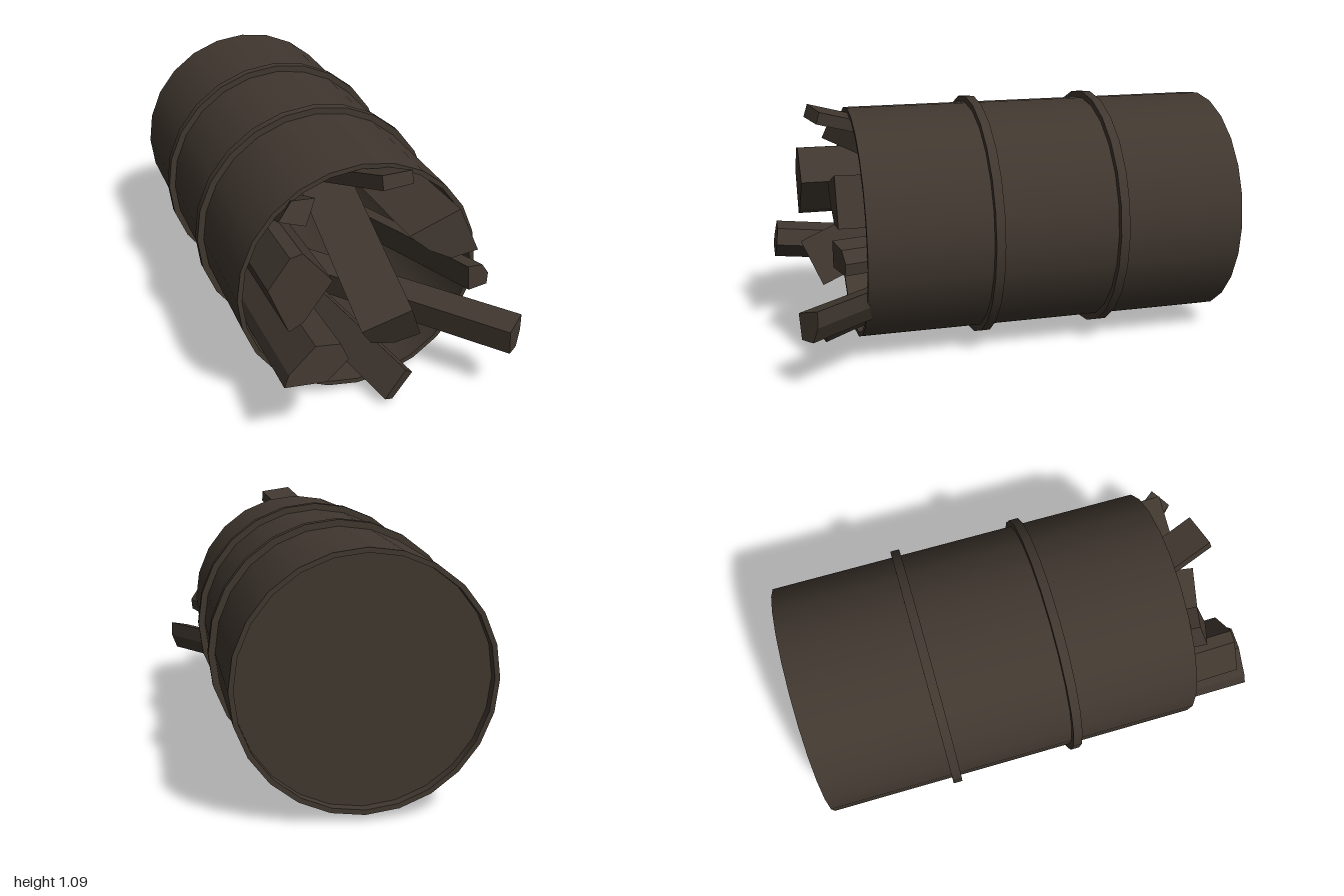
import * as THREE from 'three';
import { mergeGeometries } from 'three/addons/utils/BufferGeometryUtils.js';

const SIDES = 24;

// Revolved surface with a hard edge at every profile point
function hardLathe(profile) {
  const bands = [];
  for (let i = 0; i < profile.length - 1; i++) {
    const pair = [profile[i], profile[i + 1]].map(([r, z]) => new THREE.Vector2(r, z));
    bands.push(new THREE.LatheGeometry(pair, SIDES));
  }
  return mergeGeometries(bands).rotateX(Math.PI / 2);
}

// Log: an end outline cut square to its length, swept back along an offset
function logGeometry(outline, z, offset) {
  const pts = outline.map(([x, y]) => new THREE.Vector2(x, y));
  if (THREE.ShapeUtils.isClockWise(pts)) pts.reverse();
  const d = new THREE.Vector3(...offset);
  const centre = pts.reduce((c, p) => c.add(p), new THREE.Vector2()).divideScalar(pts.length);
  const front = pts.map(p => new THREE.Vector3(
    p.x, p.y, z - (d.x * (p.x - centre.x) + d.y * (p.y - centre.y)) / d.z));
  const back = front.map(p => p.clone().add(d));
  const n = pts.length;
  const tris = [];
  for (let i = 0; i < n; i++) {
    const j = (i + 1) % n;
    tris.push(front[i], back[i], back[j], front[i], back[j], front[j]);
  }
  for (const [a, b, c] of THREE.ShapeUtils.triangulateShape(pts, [])) {
    tris.push(front[a], front[b], front[c], back[a], back[c], back[b]);
  }
  const geometry = new THREE.BufferGeometry().setFromPoints(tris);
  geometry.computeVertexNormals();
  return geometry;
}

export function createModel() {
  const model = new THREE.Group();
  model.name = 'barrelOfLogs';
  const brown = new THREE.MeshStandardMaterial({ color: 0x40372f });
  brown.name = 'dark brown';

  const add = (name, geometry, parent = model) => {
    const mesh = new THREE.Mesh(geometry, brown);
    mesh.name = name;
    parent.add(mesh);
    return mesh;
  };

  // Barrel lying on its side, open at the front
  const barrel = new THREE.Group();
  barrel.name = 'barrel';
  barrel.position.set(-0.05, 0.543, 0);
  model.add(barrel);
  add('barrelShell', hardLathe([
    [0, -0.96], [0.495, -0.96], [0.495, -1], [0.515, -1],
    [0.515, 0.66], [0.495, 0.66], [0.495, -0.94], [0, -0.94],
  ]), barrel);

  // Raised hoops
  for (const z of [-0.44, 0.11]) {
    add('hoop', hardLathe([
      [0.512, z - 0.02], [0.543, z - 0.02], [0.543, z + 0.02], [0.512, z + 0.02],
    ]), barrel);
  }

  // Logs and planks sticking out of the open end: name, end outline, end z, offset to the far end
  const logs = [
    ['topPlank', [[-0.04, 1.085], [0.1, 1.07], [0.1, 1.02], [-0.04, 1.03]], 0.82, [-0.33, -0.34, -1.1]],
    ['upperRightPlank', [[-0.41, 0.9], [-0.35, 0.97], [-0.26, 0.975], [-0.31, 0.88]], 0.72, [0.2, -0.48, -1]],
    ['rightLog', [[-0.41, 0.82], [-0.36, 0.83], [-0.24, 0.69], [-0.36, 0.53], [-0.42, 0.5], [-0.46, 0.6], [-0.5, 0.7]],
      0.86, [-0.02, -0.01, -0.9]],
    ['lowerRightLog', [[-0.48, 0.34], [-0.46, 0.39], [-0.35, 0.49], [-0.25, 0.48], [-0.22, 0.41], [-0.31, 0.33]],
      0.98, [0.02, -0.11, -1]],
    ['middleLog', [[-0.12, 0.43], [0.08, 0.51], [0.16, 0.33], [0.05, 0.305], [-0.06, 0.34]], 0.84, [-0.02, 0.44, -1]],
    ['upperLeftLog', [[0.11, 0.77], [0.33, 0.85], [0.42, 0.65], [0.3, 0.635], [0.2, 0.69]], 0.77, [-0.02, -0.02, -1]],
    ['leftLog', [[0.37, 0.59], [0.45, 0.57], [0.485, 0.52], [0.48, 0.47], [0.38, 0.48]], 0.77, [-0.35, -0.04, -1]],
    ['lowerLeftLog', [[0.5, 0.34], [0.585, 0.37], [0.585, 0.3], [0.56, 0.23], [0.51, 0.23]], 0.91, [-0.9, -0.01, -1.15]],
    ['bottomPlank', [[0.1, 0.165], [0.14, 0.13], [0.05, 0.02], [0.01, 0.04]], 0.81, [-0.35, 0.22, -1]],
  ];
  for (const [name, outline, z, offset] of logs) add(name, logGeometry(outline, z, offset));

  return model;
}
